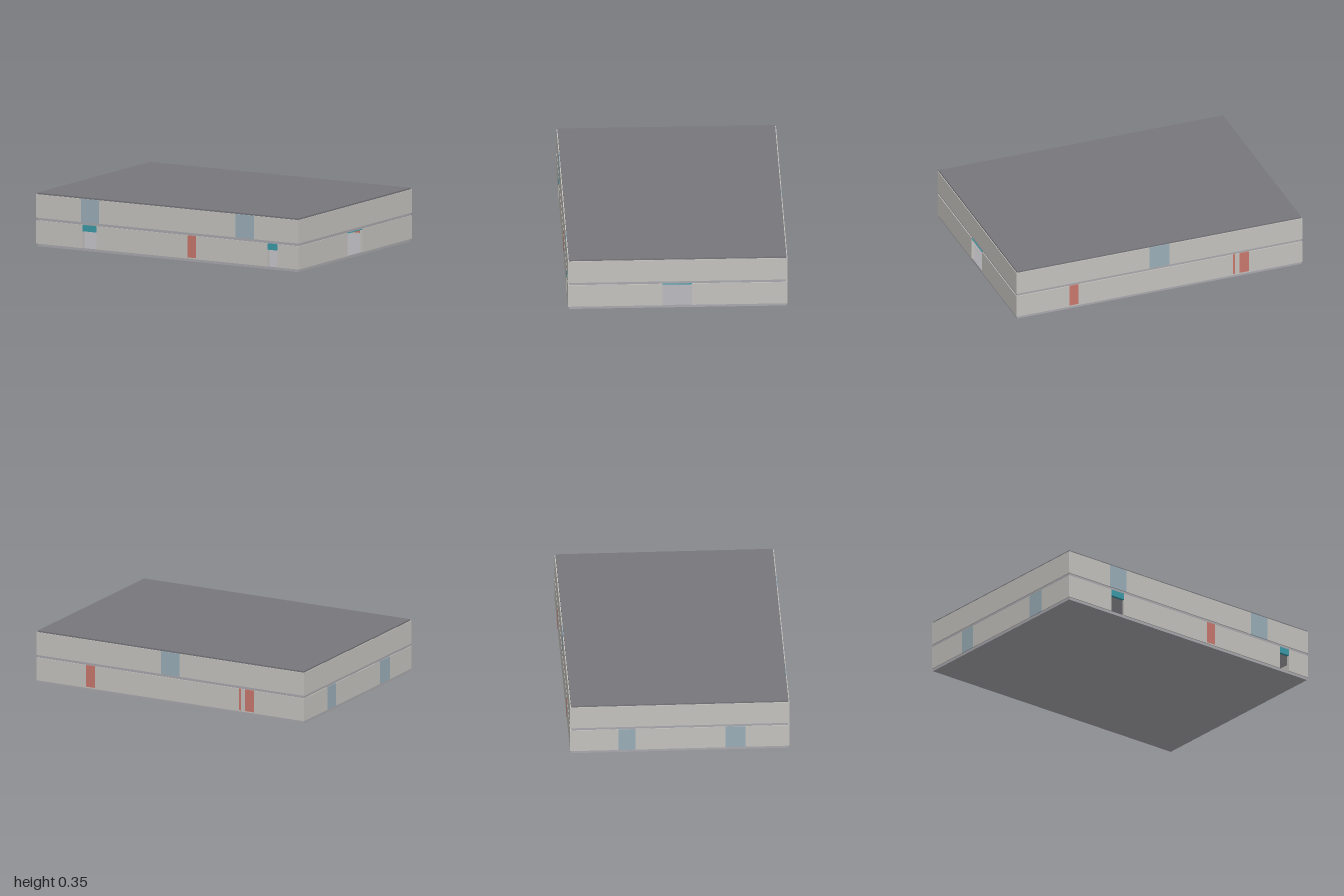
import * as THREE from 'three';

const mat = (color) => new THREE.MeshStandardMaterial({ color });
const MATS = {
  wall: mat(0xc4c2bd), slab: mat(0xa9a8ad), roof: mat(0x77767c),
  glass: mat(0x9aadb8), door: mat(0xc8776d), lintel: mat(0x3a9aa8), stair: mat(0x9a8b78),
};
const HX = 1, HZ = 0.717, T = 0.02;

// Box given by its minimum and maximum corners
function block(parent, name, material, x0, x1, y0, y1, z0, z1) {
  const mesh = new THREE.Mesh(new THREE.BoxGeometry(x1 - x0, y1 - y0, z1 - z0), material);
  mesh.position.set((x0 + x1) / 2, (y0 + y1) / 2, (z0 + z1) / 2);
  mesh.name = name;
  parent.add(mesh);
}

// Straight wall along its local x, outer face at local z = 0, split around the openings
function wall(name, half, y0, y1, openings = []) {
  const group = new THREE.Group();
  group.name = name;
  let start = -half;
  for (const { type, from, to, top } of openings) {
    block(group, 'wallSection', MATS.wall, start, from, y0, y1, -T, 0);
    if (type === 'window') block(group, 'windowPane', MATS.glass, from, to, y0, y1, -T, 0);
    if (type === 'door') {
      block(group, 'doorSill', MATS.wall, from, to, y0, y0 + 0.008, -T, 0);
      block(group, 'doorLeaf', MATS.door, from, to, y0 + 0.008, y1, -T, 0);
    }
    if (type === 'doorway') block(group, 'lintel', MATS.lintel, from, to, top, y1, -T, 0);
    start = to;
  }
  block(group, 'wallSection', MATS.wall, start, half, y0, y1, -T, 0);
  return group;
}

// Four walls of one storey; openings run left to right as seen from outside
function storey(name, y0, y1, { front, back, right, left }) {
  const group = new THREE.Group();
  group.name = name;
  const sides = [
    ['frontWall', HX, front, 0, 0, HZ],
    ['backWall', HX, back, Math.PI, 0, -HZ],
    ['leftWall', HZ - T, left, Math.PI / 2, HX, 0],
    ['rightWall', HZ - T, right, -Math.PI / 2, -HX, 0],
  ];
  for (const [label, half, openings, turn, x, z] of sides) {
    const side = wall(label, half, y0, y1, openings);
    side.rotation.y = turn;
    side.position.set(x, 0, z);
    group.add(side);
  }
  return group;
}

export function createModel() {
  const model = new THREE.Group();
  model.name = 'building';

  // Floor slabs and roof, slightly recessed behind the walls
  const sx = 0.995, sz = 0.711;
  block(model, 'baseSlab', MATS.slab, -sx, sx, 0, 0.018, -sz, sz);
  block(model, 'middleSlab', MATS.slab, -sx, sx, 0.172, 0.19, -sz, sz);
  block(model, 'roof', MATS.roof, -sx, sx, 0.345, 0.355, -sz, sz);

  const open = (type, from, to, top) => ({ type, from, to, top });
  model.add(storey('groundFloor', 0.018, 0.172, {
    front: [
      open('doorway', -0.645, -0.54, 0.13),
      open('door', 0.155, 0.22),
      open('doorway', 0.765, 0.84, 0.13),
    ],
    back: [
      open('door', -0.63, -0.565),
      open('door', 0.515, 0.53),
      open('door', 0.56, 0.625),
    ],
    left: [open('doorway', -0.1, 0.093, 0.167)],
    right: [open('window', -0.4, -0.29), open('window', 0.3, 0.43)],
  }));
  model.add(storey('upperFloor', 0.19, 0.345, {
    front: [open('window', -0.66, -0.52), open('window', 0.52, 0.66)],
    back: [open('window', -0.07, 0.07)],
  }));

  // Inner stair, descending towards +x
  const stair = new THREE.Group();
  stair.name = 'stair';
  const steps = 14;
  for (let i = 0; i < steps; i++) {
    const x = 0.72 + i * 0.0145;
    const y = 0.172 - i * 0.011;
    block(stair, 'step', MATS.stair, x, x + 0.0145, y - 0.011, y, -0.5, -0.38);
  }
  model.add(stair);
  return model;
}
